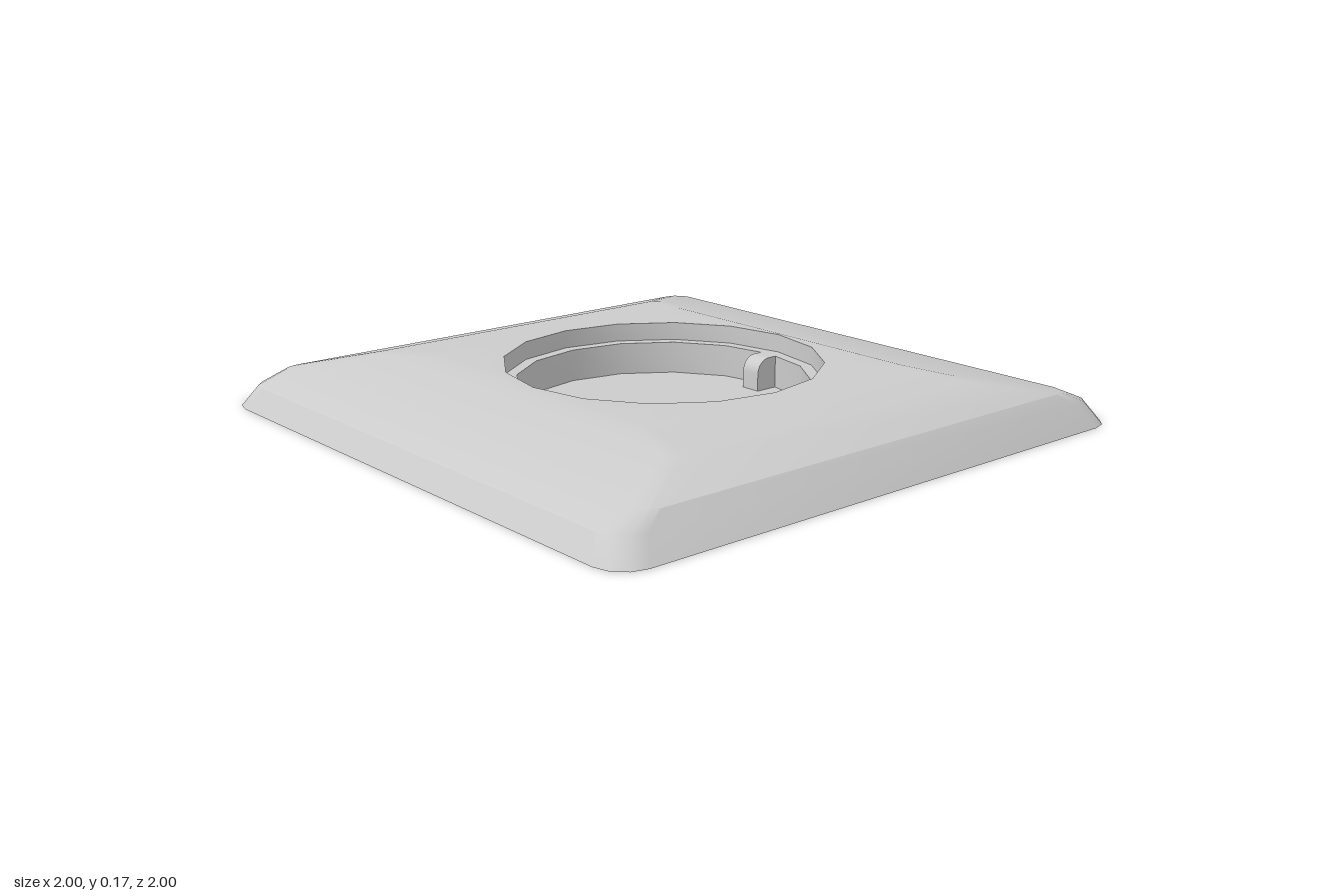
import * as THREE from 'three';
import { toCreasedNormals } from 'three/addons/utils/BufferGeometryUtils.js';

const SIDES = 16;
const CX = -0.015, CZ = -0.008; // well centre
const TOP = 0.17, LEDGE = 0.11, FLOOR = 0.003;
const R_OUT = 0.51, R_IN = 0.47;

// Rounded rectangle ring: four points on each of the four corners
function rectRing(hx, hz, r, y) {
  const pts = [];
  for (let c = 0; c < 4; c++) {
    const sx = c === 0 || c === 3 ? 1 : -1, sz = c < 2 ? 1 : -1;
    for (let k = 0; k < 4; k++) {
      const a = (c + k / 3) * Math.PI / 2;
      pts.push([sx * (hx - r) + r * Math.cos(a), y, sz * (hz - r) + r * Math.sin(a)]);
    }
  }
  return pts;
}

function circleRing(r, y) {
  return Array.from({ length: SIDES }, (_, i) => {
    const a = (i / SIDES) * Math.PI * 2;
    return [CX + r * Math.cos(a), y, CZ + r * Math.sin(a)];
  });
}

// Skin a series of rings from the outside in
function loft(rings) {
  const index = [];
  for (let j = 0; j < rings.length - 1; j++) {
    for (let i = 0; i < SIDES; i++) {
      const n = (i + 1) % SIDES;
      const a = j * SIDES + i, b = j * SIDES + n, c = b + SIDES, d = a + SIDES;
      index.push(a, c, b, a, d, c);
    }
  }
  const geo = new THREE.BufferGeometry();
  geo.setAttribute('position', new THREE.Float32BufferAttribute(rings.flat(2), 3));
  geo.setIndex(index);
  return toCreasedNormals(geo, 0.55);
}

export function createModel() {
  const group = new THREE.Group();
  const mat = new THREE.MeshStandardMaterial({ color: 0xcccccc, side: THREE.DoubleSide });
  const add = (name, geo) => {
    const mesh = new THREE.Mesh(geo, mat);
    mesh.name = name;
    group.add(mesh);
    return mesh;
  };

  // Domed cover plate, open underneath, with a round opening
  add('coverPlate', loft([
    rectRing(1, 1, 0.1, 0),
    rectRing(0.952, 0.957, 0.09, 0.07),
    rectRing(0.92, 0.86, 0.06, 0.11),
    rectRing(0.74, 0.6, 0.04, 0.155),
    rectRing(0.56, 0.53, 0.03, TOP),
    circleRing(R_OUT, TOP),
  ]));

  // Recessed well: collar, ledge, wall and floor
  add('wellCollar', loft([circleRing(R_OUT, TOP), circleRing(R_OUT, LEDGE)]));
  add('wellLedge', loft([circleRing(R_OUT, LEDGE), circleRing(R_IN, LEDGE)]));
  add('wellWall', loft([circleRing(R_IN, LEDGE), circleRing(R_IN, FLOOR)]));
  const floor = new THREE.CircleGeometry(R_IN, SIDES).rotateX(-Math.PI / 2);
  add('wellFloor', floor).position.set(CX, FLOOR, CZ);

  // Two earth clips standing against the well wall, rounded at the top
  const inner = 0.383, round = 0.05;
  const side = new THREE.Shape();
  side.moveTo(R_IN, FLOOR);
  side.lineTo(R_IN, LEDGE);
  side.lineTo(inner + round, LEDGE);
  side.absarc(inner + round, LEDGE - round, round, Math.PI / 2, Math.PI, false);
  side.lineTo(inner, FLOOR);
  const clip = toCreasedNormals(
    new THREE.ExtrudeGeometry(side, { depth: 0.07, bevelEnabled: false, curveSegments: 5 })
      .translate(0, 0, -0.035), 0.6);
  for (const [name, turn] of [['frontClip', -1], ['backClip', 1]]) {
    const mesh = add(name, clip);
    mesh.position.set(CX, 0, CZ);
    mesh.rotation.y = turn * Math.PI / 2;
  }
  return group;
}
